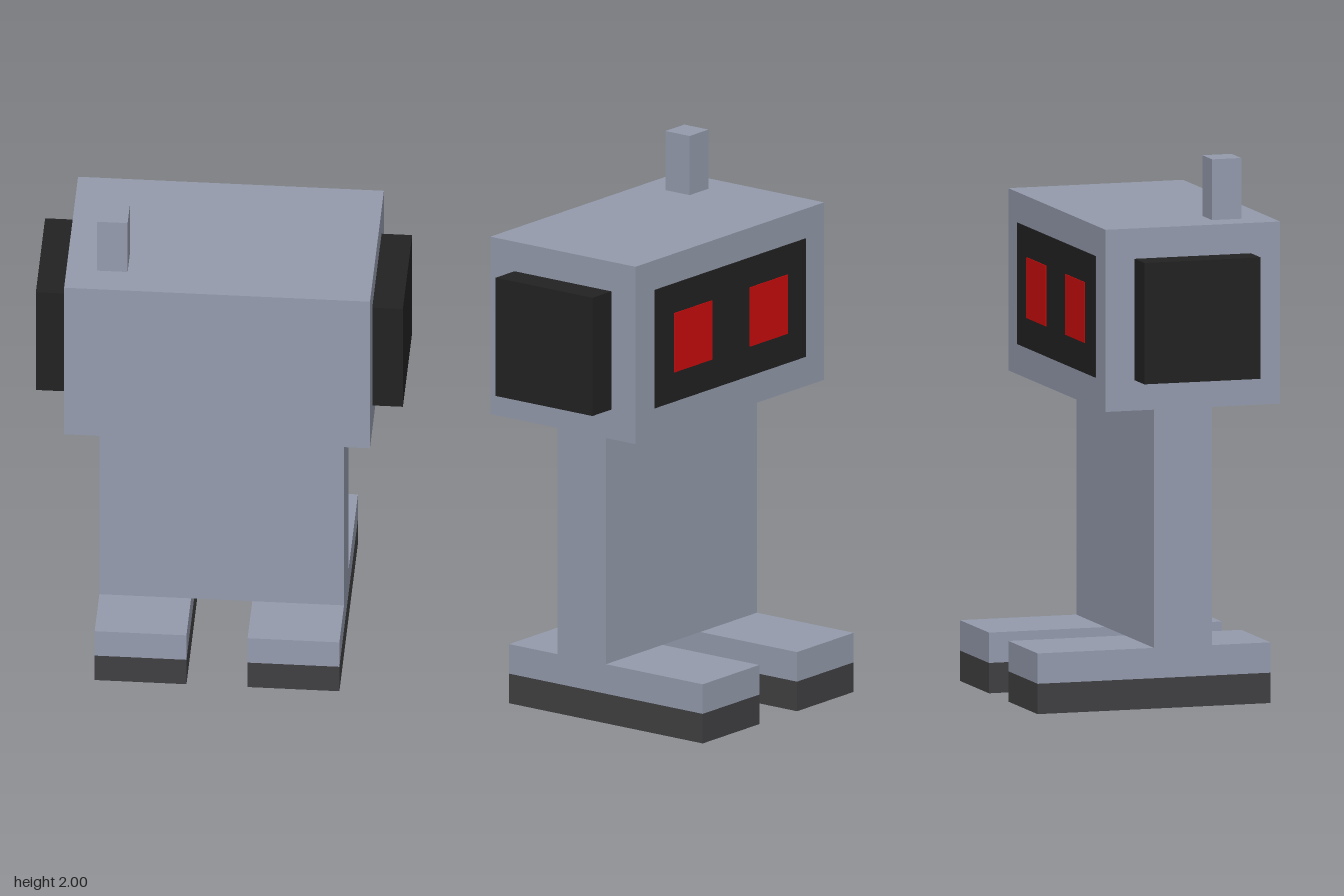
import * as THREE from 'three';

const U = 1 / 9; // one block of the modelling grid

function material(name, color) {
  const m = new THREE.MeshStandardMaterial({ color });
  m.name = name;
  return m;
}

export function createModel() {
  const model = new THREE.Group();
  model.name = 'blockRobot';

  const grey = material('bodyGrey', 0x959bad);
  const black = material('black', 0x222222);
  const sole = material('soleGrey', 0x404042);
  const red = material('eyeRed', 0xcc0c0c);

  // Box between two corners, given in blocks
  function box(name, mat, [x0, y0, z0], [x1, y1, z1]) {
    const geometry = new THREE.BoxGeometry((x1 - x0) * U, (y1 - y0) * U, (z1 - z0) * U);
    const mesh = new THREE.Mesh(geometry, mat);
    mesh.position.set((x0 + x1) / 2 * U, (y0 + y1) / 2 * U, (z0 + z1) / 2 * U);
    mesh.name = name;
    model.add(mesh);
    return mesh;
  }

  // Torso slab, head and antenna
  box('torso', grey, [-4, 2, 0], [4, 10, 2]);
  box('head', grey, [-5, 10, -2], [5, 16, 4]);
  box('antenna', grey, [-4, 16, 2], [-3, 18, 3]);

  // Screen on the rear face of the head
  box('facePanel', black, [-4, 11, -2.03], [4, 15, -2]);

  // Paired parts
  for (const [side, s] of [['left', 1], ['right', -1]]) {
    const pair = (name, mat, a, b) => {
      const mesh = box(side + name, mat, a, b);
      mesh.position.x *= s;
    };
    pair('Ear', black, [5, 11, -1], [6, 15, 3]);
    pair('Foot', grey, [1, 1, -4], [4, 2, 4]);
    pair('Sole', sole, [1, 0, -4], [4, 1, 4]);
    pair('Eye', red, [1, 12, -2.06], [3, 14, -2.03]);
  }

  return model;
}
